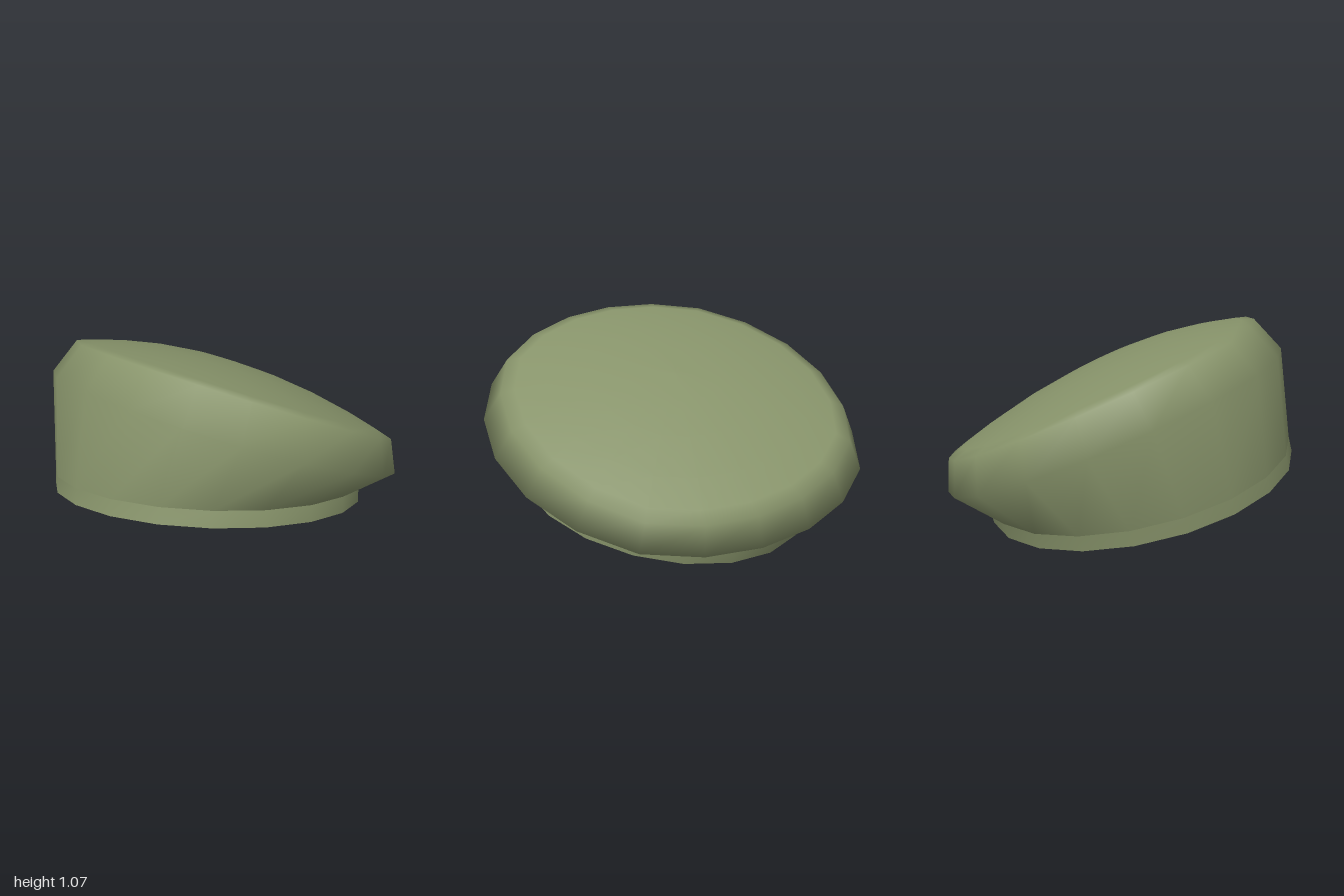
import * as THREE from 'three';

const SIDES = 20;

// A tilted oval: centre, radii, slopes of its plane along x and z
const oval = (cx, cy, cz, rx, rz, sx, sz, skew = 0, frontLift = 0) => ({ cx, cy, cz, rx, rz, sx, sz, skew, frontLift });

// Point on an oval at an angle; k scales toward the centre, lift raises it
function pointOn(o, a, k = 1, lift = 0) {
  const f = k * (1 + o.skew * Math.min(0, Math.sin(2 * a)));
  const dx = o.rx * f * Math.cos(a), dz = o.rz * f * Math.sin(a);
  const y = o.cy + o.sx * dx + o.sz * dz + o.frontLift * k * Math.max(0, Math.sin(a)) + lift;
  return [o.cx + dx, y, o.cz + dz];
}

// Skin a stack of rings, from bottom to top
function loft(rings) {
  const pos = [], index = [];
  for (const [o, k, lift] of rings)
    for (let i = 0; i < SIDES; i++) pos.push(...pointOn(o, (i / SIDES) * Math.PI * 2, k, lift));
  for (let r = 0; r < rings.length - 1; r++)
    for (let i = 0; i < SIDES; i++) {
      const j = (i + 1) % SIDES;
      const a = r * SIDES + i, b = r * SIDES + j, c = a + SIDES, d = b + SIDES;
      index.push(a, c, b);
      if (rings[r + 1][1] > 0) index.push(b, c, d);
    }
  const g = new THREE.BufferGeometry();
  g.setAttribute('position', new THREE.Float32BufferAttribute(pos, 3));
  g.setIndex(index);
  g.computeVertexNormals();
  return g;
}

export function createModel() {
  const group = new THREE.Group();
  group.name = 'beret';
  const felt = new THREE.MeshStandardMaterial({ color: 0x87936a, side: THREE.DoubleSide });

  const rim = oval(-0.1, 0.185, 0.07, 0.82, 0.79, -0.13, 0.2);
  const bandTop = oval(-0.09, 0.265, 0.05, 0.82, 0.79, -0.13, 0.2);
  const widest = oval(0.02, 0.53, 0, 0.89, 1.0, -0.4, 0.185, 0.06);
  const topEdge = oval(0.09, 0.68, -0.03, 0.82, 0.91, -0.43, 0.18, 0.06, 0.03);

  // Head band, open underneath
  const band = new THREE.Mesh(loft([[rim, 1, 0], [bandTop, 1, 0]]), felt);
  band.name = 'headBand';
  group.add(band);

  // Slouching crown: overhanging side, rounded edge and shallow domed top
  const dome = [0.92, 0.75, 0.5, 0.25, 0].map((k) => [topEdge, k, 0.16 * (1 - k * k)]);
  const crown = new THREE.Mesh(loft([[bandTop, 1, 0], [widest, 1, 0], [topEdge, 1, 0], ...dome]), felt);
  crown.name = 'crown';
  group.add(crown);

  return group;
}
